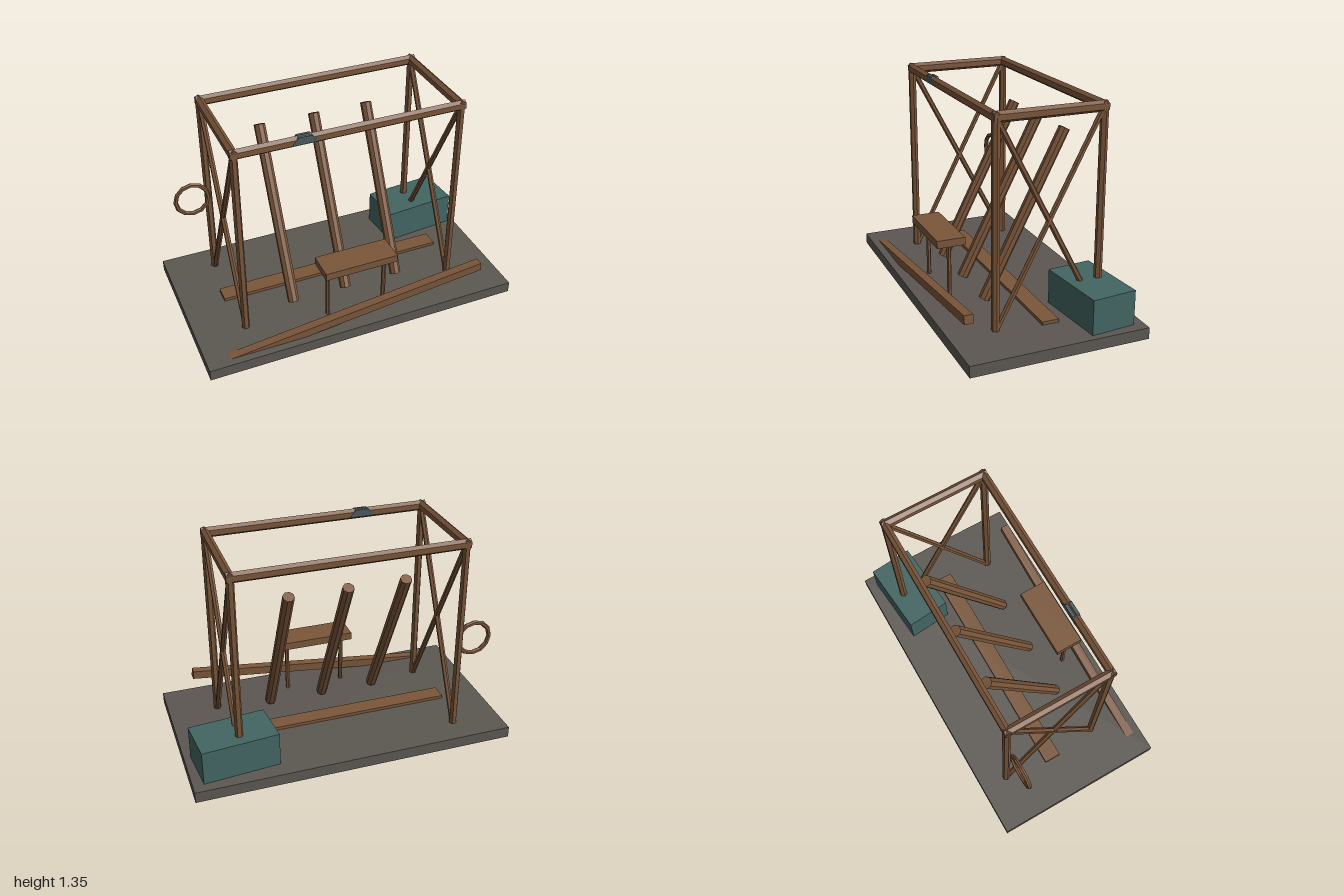
import * as THREE from 'three';

const material = (name, color) => {
  const m = new THREE.MeshStandardMaterial({ color, flatShading: true });
  m.name = name;
  return m;
};

export function createModel() {
  const wood = material('brown wood', 0x7a563a);
  const stone = material('grey stone', 0x5c5751);
  const teal = material('teal paint', 0x436663);
  const cloth = material('slate cloth', 0x4a5a5e);
  const model = new THREE.Group();
  model.name = 'timberRack';

  const add = (name, geometry, mat) => {
    const mesh = new THREE.Mesh(geometry, mat);
    mesh.name = name;
    model.add(mesh);
    return mesh;
  };
  const box = (name, size, pos, mat = wood) => {
    const mesh = add(name, new THREE.BoxGeometry(...size), mat);
    mesh.position.set(...pos);
    return mesh;
  };
  // Faceted rod from a to b; twist turns its facets, sx and sz flatten it
  const rod = (name, a, b, r, { sides = 6, twist = 0, sx = 1, sz = 1 } = {}) => {
    const from = new THREE.Vector3(...a), to = new THREE.Vector3(...b);
    const dir = to.clone().sub(from);
    const g = new THREE.CylinderGeometry(r, r, dir.length(), sides);
    g.rotateY(twist).scale(sx, 1, sz);
    const mesh = add(name, g, wood);
    mesh.position.copy(from).add(to).multiplyScalar(0.5);
    mesh.quaternion.setFromUnitVectors(new THREE.Vector3(0, 1, 0), dir.normalize());
    return mesh;
  };

  // Ground slab, centre plank and the footing under it
  box('baseSlab', [2, 0.07, 1.09], [0, 0.055, 0], stone);
  box('centrePlank', [1.48, 0.11, 0.105], [0, 0.055, -0.053]);
  const X = 0.69, zFront = 0.267, zBack = -0.375, yTop = 1.318, twist = Math.PI / 6;
  for (const x of [-X, X]) {
    box('footingCrossbar', [0.1, 0.03, 0.6], [x, 0.015, -0.054]);
    for (const z of [zFront, zBack]) {
      box('footingPad', [0.2, 0.03, 0.127], [x, 0.015, z]);
      rod('post', [x, 0.03, z], [x, yTop, z], 0.024, { twist });
    }
    // Side beam and crossed braces
    rod('sideBeam', [x, yTop, zBack - 0.018], [x, yTop, zFront + 0.018], 0.033, { sx: 0.8 });
    rod('brace', [x, 0.1, zFront - 0.01], [x, 1.3, zBack + 0.01], 0.017);
    rod('brace', [x, 1.3, zFront - 0.01], [x, 0.1, zBack + 0.01], 0.017);
  }
  for (const z of [zFront, zBack]) {
    rod('longBeam', [-X - 0.022, yTop, z], [X + 0.022, yTop, z], 0.033, { twist, sz: 0.75 });
  }

  // Leaning poles
  for (const x of [-0.352, 0, 0.352]) {
    rod('leaningPole', [x, 0.12, 0.196], [x, 1.12, -0.311], 0.035, { sides: 8, twist: Math.PI / 8 });
  }

  // Narrow bench
  box('benchTop', [0.465, 0.048, 0.176], [0, 0.456, 0.353]);
  for (const x of [-0.187, 0.187]) rod('benchLeg', [x, 0.08, 0.353], [x, 0.44, 0.353], 0.014);

  // Sloping plank, sunk into the slab at its low end
  box('slopingPlank', [1.68, 0.053, 0.054], [-0.032, 0.157, 0.47]).rotation.z = 0.113;

  // Crate
  box('crate', [0.472, 0.22, 0.28], [0.711, 0.194, -0.322], teal).rotation.y = 0.09;

  // Hoop hung on a back post
  add('hoop', new THREE.TorusGeometry(0.104, 0.0145, 6, 12), wood).position.set(-0.802, 0.668, -0.343);

  // Cloth wrapped over the front beam
  const wrap = new THREE.Shape([[-0.08, 0], [0.08, 0], [0.04, 0.046], [-0.04, 0.046]]
    .map(([x, y]) => new THREE.Vector2(x, y)));
  add('beamCloth', new THREE.ExtrudeGeometry(wrap, { depth: 0.046, bevelEnabled: false }), cloth)
    .position.set(-0.285, 1.301, zFront - 0.023);

  return model;
}
